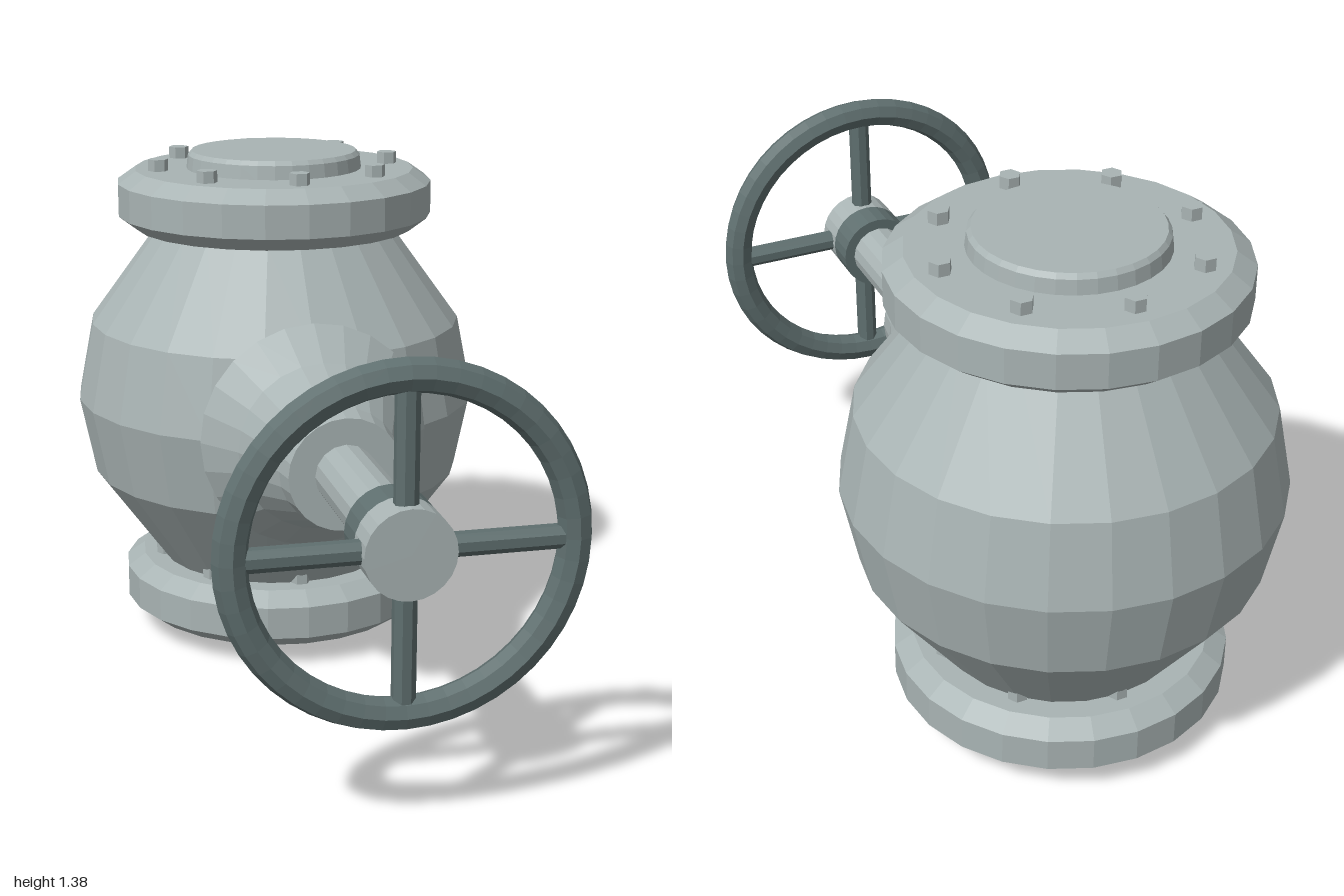
import * as THREE from 'three';

const CY = 0.69;    // height of the stem axis
const BZ = -0.435;  // depth of the vertical body axis

export function createModel() {
  const model = new THREE.Group();
  model.name = 'gateValve';
  const castMetal = new THREE.MeshStandardMaterial({ color: 0xa9b4b4, flatShading: true });
  castMetal.name = 'castMetal';
  const darkMetal = new THREE.MeshStandardMaterial({ color: 0x5f6f6f, flatShading: true });
  darkMetal.name = 'darkMetal';

  const add = (name, geometry, material, x = 0, y = 0, z = 0) => {
    const mesh = new THREE.Mesh(geometry, material);
    mesh.name = name;
    mesh.position.set(x, y, z);
    model.add(mesh);
    return mesh;
  };
  // Turned profile of [radius, height] pairs, listed from bottom to top
  const turned = (points, sides = 24) =>
    new THREE.LatheGeometry(points.map(([r, h]) => new THREE.Vector2(r, h)), sides);

  // Faceted round body
  add('body', turned([
    [0, 0.2], [0.33, 0.21], [0.522, 0.475], [0.565, CY], [0.522, 0.907], [0.33, 1.17], [0, 1.18],
  ]), castMetal, 0, 0, BZ);

  // Bevelled flanges, each with a ring of eight hex bolts
  for (const [name, base] of [['top', 1.17], ['bottom', 0.05]]) {
    add(name + 'Flange', turned([
      [0, 0], [0.39, 0], [0.44, 0.038], [0.44, 0.128], [0.39, 0.163], [0, 0.163],
    ]), castMetal, 0, base, BZ);
    for (let i = 0; i < 8; i++) {
      const a = i * Math.PI / 4;
      const bolt = new THREE.CylinderGeometry(0.028, 0.028, 0.05, 6);
      bolt.rotateY(Math.PI / 6);
      add(name + 'Bolt', bolt, castMetal,
        0.327 * Math.cos(a), base + 0.17, BZ + 0.327 * Math.sin(a));
    }
  }

  // Pipe ends
  add('topPipeEnd', turned([[0.245, 1.33], [0.24, 1.37], [0.23, 1.382], [0, 1.382]], 32),
    castMetal, 0, 0, BZ);
  add('bottomPipeEnd', turned([[0, 0], [0.226, 0], [0.25, 0.055]], 32), castMetal, 0, 0, BZ);

  // Flared bonnet, stem and hub along the forward axis
  const forward = (name, geometry, material, z = 0) => {
    geometry.rotateX(Math.PI / 2);
    return add(name, geometry, material, 0, CY, z);
  };
  forward('bonnet', turned([
    [0, -0.02], [0.265, -0.01], [0.293, 0.03], [0.306, 0.06], [0.225, 0.165], [0.157, 0.345], [0.147, 0.41], [0, 0.41],
  ]), castMetal);
  forward('stem', new THREE.CylinderGeometry(0.079, 0.079, 0.44, 16), castMetal, 0.61);
  forward('hub', new THREE.CylinderGeometry(0.108, 0.108, 0.09, 24), darkMetal, 0.863);
  forward('hubCap', new THREE.CylinderGeometry(0.108, 0.108, 0.092, 24), castMetal, 0.954);

  // Hand wheel: rim and four spokes
  add('wheelRim', new THREE.TorusGeometry(0.398, 0.041, 8, 48), darkMetal, 0, CY, 0.95);
  for (let i = 0; i < 4; i++) {
    const spoke = new THREE.CylinderGeometry(0.029, 0.029, 0.32, 8);
    spoke.rotateY(Math.PI / 8);
    spoke.translate(0, 0.23, 0);
    spoke.rotateZ(i * Math.PI / 2);
    add('wheelSpoke', spoke, darkMetal, 0, CY, 0.95);
  }
  return model;
}
